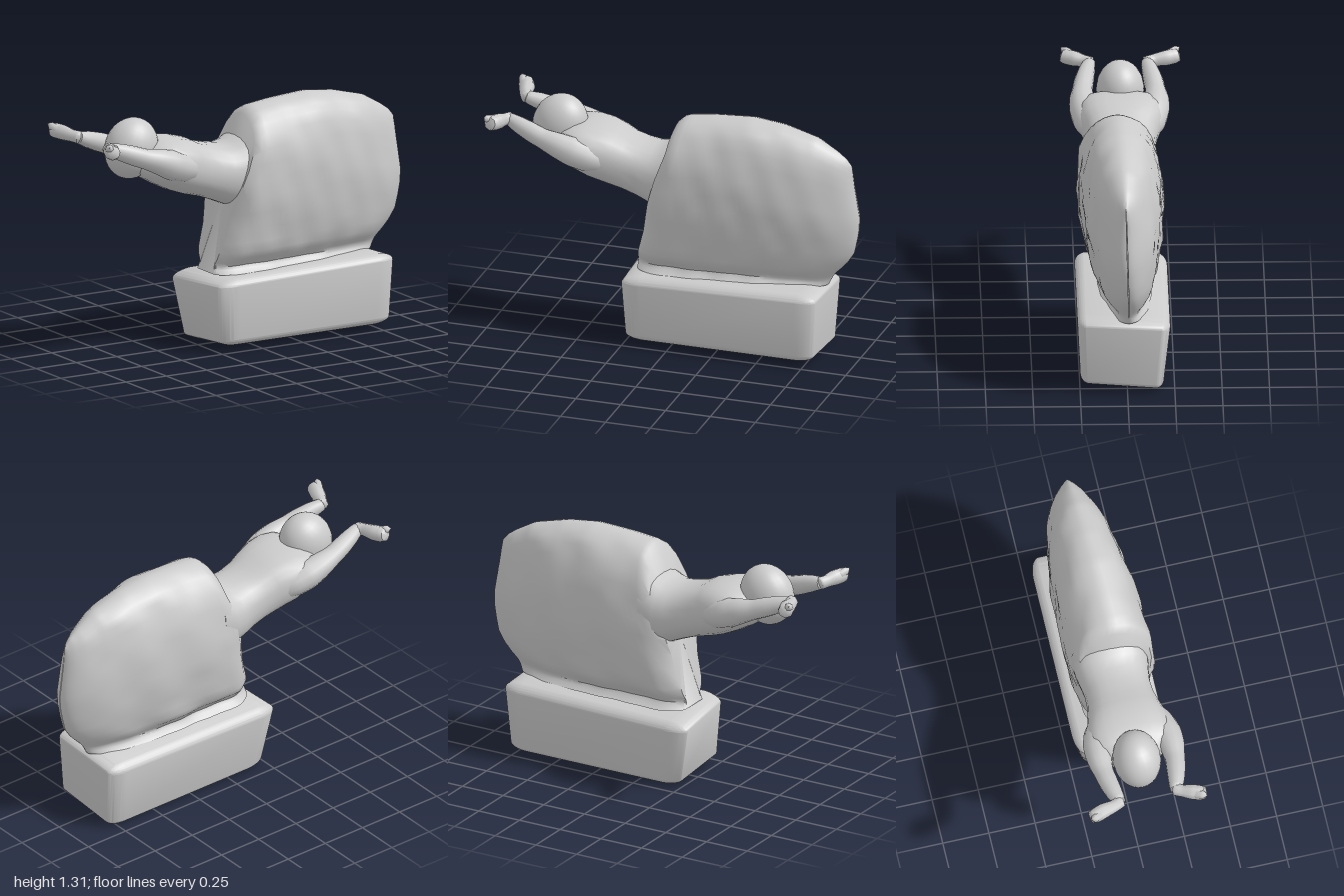
import * as THREE from 'three';
import { toCreasedNormals, mergeVertices } from 'three/addons/utils/BufferGeometryUtils.js';
import { RoundedBoxGeometry } from 'three/addons/geometries/RoundedBoxGeometry.js';

const material = new THREE.MeshStandardMaterial({ color: 0xcccccc });

// Piecewise-linear lookup in a table of [key, value] rows.
function lookup(table, k) {
  if (k <= table[0][0]) return table[0][1];
  for (let i = 1; i < table.length; i++) {
    const [k0, v0] = table[i - 1], [k1, v1] = table[i];
    if (k <= k1) return v0 + (v1 - v0) * (k - k0) / (k1 - k0);
  }
  return table[table.length - 1][1];
}

// Skin over closed rings of equal length, ordered along +x, with both ends closed.
function loft(rings, crease) {
  const close = (ring) => {
    const c = ring.reduce((s, p) => s.add(p), new THREE.Vector3()).divideScalar(ring.length);
    return ring.map(() => c);
  };
  const all = [close(rings[0]), ...rings, close(rings[rings.length - 1])];
  const n = rings[0].length, index = [];
  for (let i = 0; i < all.length - 1; i++) {
    for (let j = 0; j < n; j++) {
      const a = i * n + j, b = i * n + (j + 1) % n;
      index.push(a, b, b + n, a, b + n, a + n);
    }
  }
  const g = new THREE.BufferGeometry().setFromPoints(all.flat());
  g.setIndex(index);
  return toCreasedNormals(g, crease);
}

// Tube along points [x, y, z, radius], swelling and narrowing.
function limb(points, sides = 12, steps = 24) {
  const curve = new THREE.CatmullRomCurve3(points.map((p) => new THREE.Vector3(p[0], p[1], p[2])));
  const g = new THREE.TubeGeometry(curve, steps, 1, sides, false);
  const lengths = [0];
  points.slice(1).forEach((p, i) => lengths.push(lengths[i] + Math.hypot(...[0, 1, 2].map((k) => p[k] - points[i][k]))));
  const total = lengths[lengths.length - 1];
  const radii = points.map((p, i) => [lengths[i] / total, p[3]]);
  const pos = g.attributes.position, v = new THREE.Vector3();
  for (let i = 0; i < pos.count; i++) {
    const t = Math.floor(i / (sides + 1)) / steps;
    const c = curve.getPointAt(t);
    v.fromBufferAttribute(pos, i).sub(c).multiplyScalar(lookup(radii, t)).add(c);
    pos.setXYZ(i, v.x, v.y, v.z);
  }
  g.deleteAttribute('uv');
  g.deleteAttribute('normal');
  return toCreasedNormals(mergeVertices(g), 1);
}

// Soft hand-worked unevenness.
const bump = (x, y, z) => Math.sin(x * 13 + y * 7) * Math.sin(y * 15 - x * 5 + z * 4) * 0.5
  + Math.sin(x * 27 - y * 11) * Math.sin(y * 25 + x * 9) * 0.3;

function plinthGeometry() {
  const g = new RoundedBoxGeometry(1, 1, 1, 10, 0.1);
  const pos = g.attributes.position, mix = THREE.MathUtils.lerp;
  for (let i = 0; i < pos.count; i++) {
    const u = pos.getX(i) + 0.5, h = pos.getY(i) + 0.5, d = pos.getZ(i) + 0.5;
    // the left end bulges towards the back and rounds off at its back corner
    const left = mix(mix(-0.27, -0.34, h), mix(-0.235, -0.255, h), d) + 0.05 * Math.max(0, 1 - d * 4);
    const right = mix(0.805, 0.825, h);
    const back = mix(-0.19, -0.232, h), front = mix(0.238, 0.264, h ** 0.4);
    // top crowned, falling to the back and to the left
    const low = mix(0, 0.035, d);
    const high = 0.43 - 0.05 * Math.max(0, 1 - d * 3.5) - 0.02 * Math.max(0, d * 4 - 3) - 0.03 * Math.max(0, 1 - u * 4);
    const z = mix(back, front, d), x = mix(left, right, u);
    pos.setXYZ(i, x, mix(low, high, h), z + (h > 0.1 && h < 0.9 ? bump(x, h * 0.4, 1) * 0.006 : 0));
  }
  g.deleteAttribute('uv');
  g.deleteAttribute('normal');
  return toCreasedNormals(mergeVertices(g, 1e-5), 0.7);
}

function blockGeometry() {
  const leftEdge = [[0.4, -0.21], [0.5, -0.2], [0.62, -0.165], [0.78, -0.135], [0.95, -0.08], [1.1, -0.025], [1.25, 0]];
  const rightEdge = [[0.4, 0.82], [0.46, 0.85], [0.53, 0.92], [0.6, 0.965], [0.72, 0.99], [0.8, 0.995], [0.9, 0.98], [1.0, 0.965], [1.15, 0.95]];
  const topEdge = [[0, 1.255], [0.05, 1.28], [0.2, 1.297], [0.42, 1.31], [0.6, 1.29], [0.8, 1.24], [0.92, 1.175], [0.97, 1.14], [1, 1.1]];
  // [height fraction, half thickness] from the crest down, with a fold above the foot
  const side = [[0.995, 0.03], [0.98, 0.07], [0.95, 0.113], [0.91, 0.145], [0.85, 0.175], [0.77, 0.2], [0.68, 0.217], [0.58, 0.227],
    [0.48, 0.23], [0.38, 0.224], [0.28, 0.21], [0.2, 0.198], [0.14, 0.186], [0.1, 0.168], [0.07, 0.14], [0.045, 0.122], [0.025, 0.13], [0, 0.16]];
  const rings = [];
  const N = 48;
  for (let i = 0; i <= N; i++) {
    const u = 1 - Math.pow(1 - i / N, 1.6);
    const taper = Math.sqrt(Math.max(0.0001, 1 - u ** 3)) * (1 - 0.07 * u) * (i === 0 ? 0.94 : 1);
    const top = lookup(topEdge, u) - (i === 0 ? 0.015 : 0), low = 0.4;
    const point = (s, w, sign) => {
      const y = low + (top - low) * s;
      const l = lookup(leftEdge, y), x = l + (lookup(rightEdge, y) - l) * u;
      // the left end is rounded low down and keeps a firm rim at the top
      const belly = 1 - 0.4 * Math.max(0, 1 - u / 0.12) ** 2 * THREE.MathUtils.smoothstep(1.05 - y, 0, 0.4);
      const rough = i && w > 0.1 ? bump(x, y, sign) * 0.016 * taper : 0;
      return new THREE.Vector3(x, y, 0.022 - 0.03 * u + 0.018 * s + sign * (w * taper * belly + rough));
    };
    rings.push([point(1, 0, 1), ...side.map(([s, w]) => point(s, w, 1)),
      ...side.slice().reverse().map(([s, w]) => point(s, w, -1))]);
  }
  return loft(rings, 0.9);
}

function torsoGeometry() {
  // [x, lower y, upper y, half width]
  const sections = [[-0.68, 1.03, 1.13, 0.07], [-0.64, 1.0, 1.155, 0.14], [-0.59, 0.965, 1.175, 0.2], [-0.52, 0.925, 1.18, 0.228],
    [-0.44, 0.885, 1.172, 0.222], [-0.36, 0.855, 1.152, 0.198], [-0.28, 0.825, 1.125, 0.182],
    [-0.2, 0.795, 1.1, 0.178], [-0.13, 0.765, 1.088, 0.187], [-0.07, 0.75, 1.1, 0.198], [0.02, 0.74, 1.15, 0.2]];
  const rings = sections.map(([x, lo, hi, w]) => Array.from({ length: 24 }, (_, j) => {
    const a = j / 24 * Math.PI * 2, c = Math.cos(a), s = Math.sin(a);
    const soft = (t) => Math.sign(t) * Math.abs(t) ** 0.85;
    // the back hollows slightly along the spine
    const spine = c > 0.8 && x < -0.2 ? 0.01 * (1 - Math.abs(s)) : 0;
    return new THREE.Vector3(x + (x < -0.3 ? 0.03 * c : 0), (lo + hi) / 2 + (hi - lo) / 2 * soft(c) - spine, 0.015 + w * soft(s));
  }));
  return loft(rings, 1);
}

export function createModel() {
  const model = new THREE.Group();
  const add = (name, geometry, parent = model) => {
    const mesh = new THREE.Mesh(geometry, material);
    mesh.name = name;
    parent.add(mesh);
    return mesh;
  };

  add('plinth', plinthGeometry());
  add('block', blockGeometry());
  add('torso', torsoGeometry());

  // Head, bowed forward between the arms
  const head = add('head', new THREE.SphereGeometry(1, 24, 18));
  head.scale.set(0.148, 0.165, 0.127);
  head.rotation.z = -0.35;
  head.position.set(-0.668, 1.13, 0.012);
  add('neck', limb([[-0.48, 1.06, 0.01, 0.09], [-0.56, 1.08, 0.01, 0.085], [-0.65, 1.11, 0.01, 0.08]]));

  // Outstretched arms with hands turned outward
  for (const [name, s] of [['front', 1], ['back', -1]]) {
    const arm = new THREE.Group();
    arm.name = name + 'Arm';
    const z = (d) => 0.018 + s * d;
    const reach = s > 0 ? 0 : -0.022;
    add(name + 'Limb', limb([[-0.3, 0.98, z(0.1), 0.001], [-0.38, 1.0, z(0.13), 0.06], [-0.46, 1.03, z(0.165), 0.078],
      [-0.54, 1.06, z(0.185), 0.08], [-0.62, 1.09, z(0.195), 0.068], [-0.7, 1.115, z(0.192), 0.054], [-0.77, 1.14, z(0.182), 0.052],
      [-0.84, 1.165, z(0.168), 0.045], [-0.9, 1.185, z(0.155), 0.034], [-0.92, 1.19, z(0.16), 0.001]], 12, 32), arm);
    add(name + 'Hand', limb([[-0.89, 1.18, z(0.132), 0.001], [-0.9, 1.185, z(0.148), 0.036], [-0.92, 1.19, z(0.185), 0.034],
      [-0.938, 1.196, z(0.23) + reach, 0.043], [-0.955, 1.2, z(0.275) + reach, 0.042], [-0.96, 1.205, z(0.297) + reach, 0.034],
      [-0.963, 1.207, z(0.305) + reach, 0.001]], 8, 20), arm);
    // Fingertips curling outward from the palm
    add(name + 'Fingers', limb([[-0.93, 1.19, z(0.22), 0.015], [-0.96, 1.21, z(0.25) + reach, 0.026],
      [-0.98, 1.228, z(0.285) + reach, 0.022], [-0.99, 1.238, z(0.303) + reach, 0.001]], 7, 12), arm);
    model.add(arm);
  }
  return model;
}
